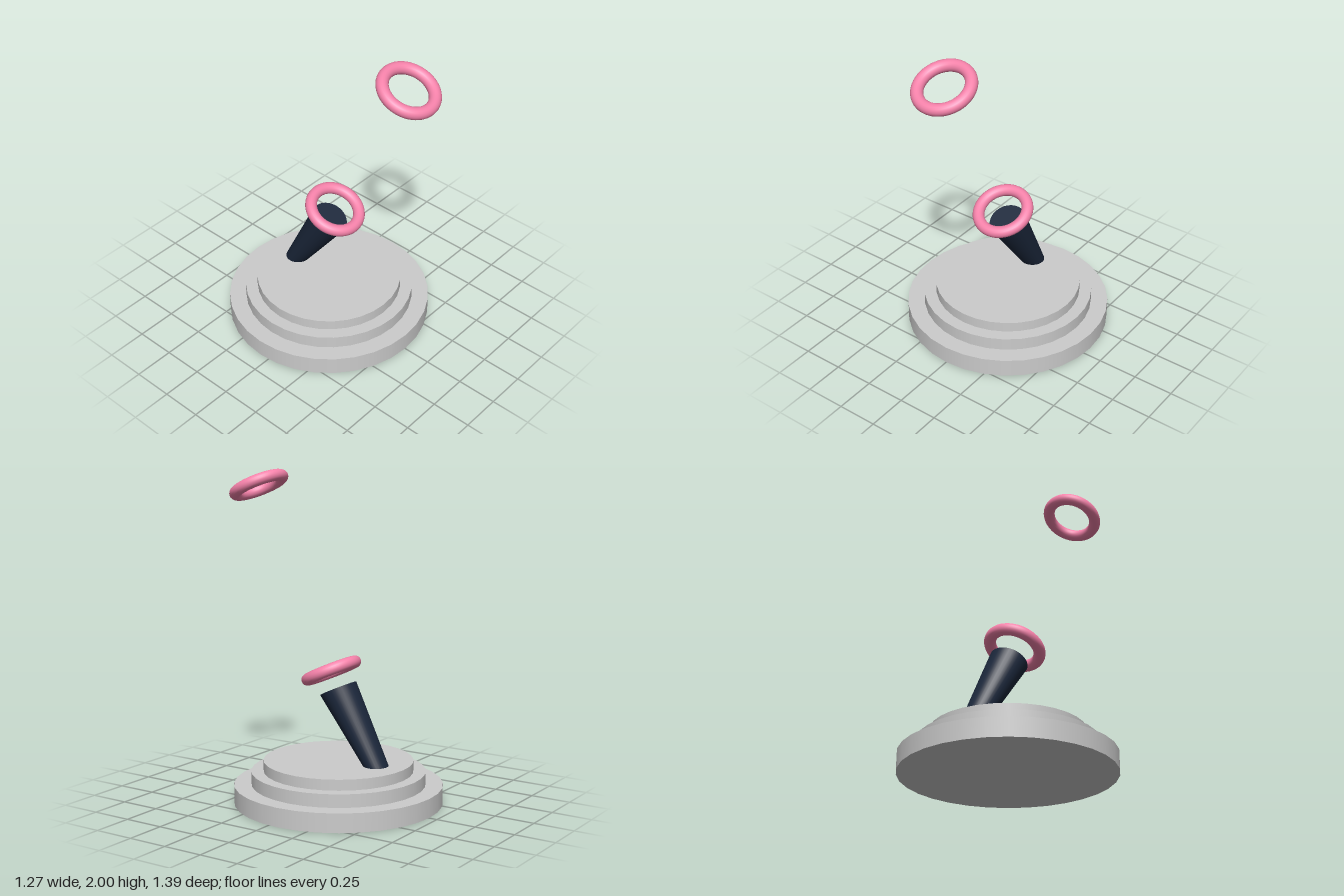
import * as THREE from 'three';
import { toCreasedNormals } from 'three/addons/utils/BufferGeometryUtils.js';

const TILT = THREE.MathUtils.degToRad(25.3);

// Tapered post: each end is a tilted ellipse, with the axis leaning further than the caps
function leaningPost(bottom, top) {
  const geo = new THREE.CylinderGeometry(1, 1, 1, 32);
  const pos = geo.attributes.position;
  for (let i = 0; i < pos.count; i++) {
    const end = pos.getY(i) > 0 ? top : bottom;
    const depth = pos.getZ(i) * end.rz;
    pos.setXYZ(i, pos.getX(i) * end.rx,
      end.y - depth * Math.sin(TILT),
      end.z + depth * Math.cos(TILT));
  }
  return toCreasedNormals(geo, Math.PI / 5);
}

export function createModel() {
  const model = new THREE.Group();
  const grey = new THREE.MeshStandardMaterial({ color: 0xcccccc });
  const navy = new THREE.MeshStandardMaterial({ color: 0x1b273b });
  const pink = new THREE.MeshStandardMaterial({ color: 0xf582aa });

  const add = (name, geo, mat, x, y, z) => {
    const mesh = new THREE.Mesh(geo, mat);
    mesh.name = name;
    mesh.position.set(x, y, z);
    model.add(mesh);
    return mesh;
  };

  // Three stepped discs: name, radius, bottom, top
  const tiers = [
    ['baseTier', 0.635, 0, 0.115],
    ['middleTier', 0.53, 0.115, 0.195],
    ['topTier', 0.455, 0.195, 0.26],
  ];
  for (const [name, r, y0, y1] of tiers) {
    add(name, new THREE.CylinderGeometry(r, r, y1 - y0, 32), grey, 0, (y0 + y1) / 2, -0.063);
  }

  // Leaning post, its foot sunk into the base
  add('post', leaningPost(
    { y: 0.175, z: -0.384, rx: 0.071, rz: 0.056 },
    { y: 0.7, z: -0.06, rx: 0.116, rz: 0.116 },
  ), navy, 0, 0, 0);

  // Two floating rings, parallel to the post's cap
  const ringGeo = new THREE.TorusGeometry(0.154, 0.036, 20, 64);
  for (const [name, y, z] of [['lowerRing', 0.802, -0.01], ['upperRing', 1.897, 0.522]]) {
    add(name, ringGeo, pink, 0, y, z).rotation.x = TILT - Math.PI / 2;
  }

  return model;
}
